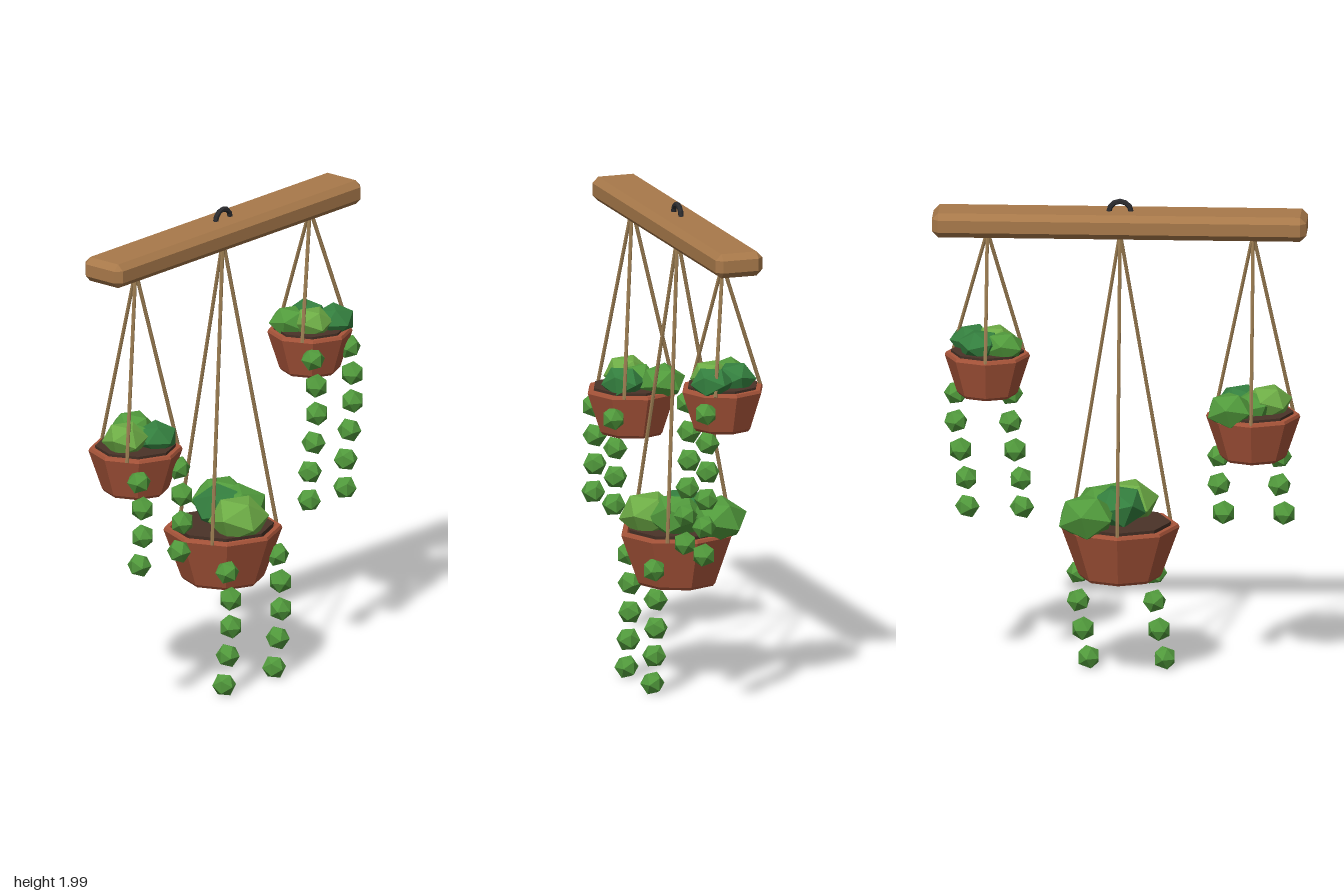
import * as THREE from 'three';
import { ConvexGeometry } from 'three/addons/geometries/ConvexGeometry.js';

const mat = (color) => new THREE.MeshStandardMaterial({ color, flatShading: true });
const WOOD = mat(0xa8794a), CLAY = mat(0xa9553a), SOIL = mat(0x4a3328);
const ROPE = mat(0x97794f), IRON = mat(0x2b2b2e);
const LEAF = { light: mat(0x6cab45), mid: mat(0x519a3c), dark: mat(0x34803f) };

function add(parent, name, geometry, material, x = 0, y = 0, z = 0) {
  const mesh = new THREE.Mesh(geometry, material);
  mesh.name = name;
  mesh.position.set(x, y, z);
  parent.add(mesh);
  return mesh;
}

// Box with all edges chamfered, from half sizes and chamfer width
function chamferBox(hx, hy, hz, c) {
  const points = [];
  for (const sx of [-1, 1]) for (const sy of [-1, 1]) for (const sz of [-1, 1]) {
    points.push(
      new THREE.Vector3(sx * hx, sy * (hy - c), sz * (hz - c)),
      new THREE.Vector3(sx * (hx - c), sy * hy, sz * (hz - c)),
      new THREE.Vector3(sx * (hx - c), sy * (hy - c), sz * hz));
  }
  return new ConvexGeometry(points);
}

// Straight rope between two points
function addRope(parent, from, to) {
  const dir = to.clone().sub(from);
  const rope = add(parent, 'rope', new THREE.CylinderGeometry(0.008, 0.008, dir.length(), 6), ROPE);
  rope.position.copy(from).addScaledVector(dir, 0.5);
  rope.quaternion.setFromUnitVectors(new THREE.Vector3(0, 1, 0), dir.normalize());
}

// One hanging planter; foliage rows are [x, z, radius, tone, top height over rim]
function hangingPlanter({ name, x, top, height, r, base, beads, foliage }) {
  const g = new THREE.Group();
  g.name = name;
  g.position.x = x;
  const bottom = top - height;

  // Eight-sided pot with a softened foot and rim
  const profile = [
    [0, bottom], [base - 0.01, bottom], [base, bottom + 0.012],
    [r, top - 0.012], [r - 0.005, top], [r - 0.025, top], [r - 0.03, top - 0.02],
  ].map(([px, py]) => new THREE.Vector2(px, py));
  const clay = add(g, 'pot', new THREE.LatheGeometry(profile, 8), CLAY);
  clay.material.side = THREE.DoubleSide;
  add(g, 'soil', new THREE.CylinderGeometry(r * 0.86, r * 0.84, 0.03, 8), SOIL, 0, top - 0.005, 0);

  // Three ropes: one at the back, two towards the front
  for (let i = 0; i < 3; i++) {
    const a = Math.PI + i * Math.PI * 2 / 3;
    addRope(g, new THREE.Vector3(0, 1.86, 0),
      new THREE.Vector3(Math.sin(a) * r * 0.95, top - 0.01, Math.cos(a) * r * 0.95));
  }

  // Faceted foliage clumps
  foliage.forEach(([fx, fz, fr, tone, rise], i) => {
    const geo = new THREE.IcosahedronGeometry(fr, 0);
    geo.rotateX(0.4 + i * 1.1).rotateY(0.7 + i * 1.7).scale(1, 0.78, 1);
    add(g, 'foliage', geo, LEAF[tone], fx, top + rise - fr * 0.75, fz);
  });

  // Two swaying trailing vines of leaf beads
  for (const side of [-1, 1]) for (let i = 0; i < beads; i++) {
    const bead = add(g, 'vineLeaf', new THREE.IcosahedronGeometry(0.05, 0), LEAF.mid,
      side * r * 0.64 + Math.sin(i) * 0.025, top - 0.67 * r + 0.035 - i * 0.118, r * 0.65);
    bead.rotation.y = i * 0.5;
  }
  return g;
}

export function createModel() {
  const model = new THREE.Group();
  model.name = 'hangingPlanters';

  add(model, 'beam', chamferBox(0.755, 0.05, 0.1, 0.025), WOOD, 0, 1.9, 0);
  add(model, 'hook', new THREE.TorusGeometry(0.045, 0.011, 6, 6, Math.PI), IRON, 0, 1.945, 0);

  model.add(hangingPlanter({
    name: 'leftHandPlanter', x: -0.537, top: 1.115, height: 0.185, r: 0.19, base: 0.135, beads: 4,
    foliage: [
      [-0.065, 0.0, 0.095, 'light', 0.12], [0.06, 0.06, 0.09, 'dark', 0.105],
      [0.09, -0.095, 0.1, 'mid', 0.11], [-0.005, -0.02, 0.09, 'mid', 0.1],
    ],
  }));
  model.add(hangingPlanter({
    name: 'middlePlanter', x: 0, top: 0.65, height: 0.222, r: 0.24, base: 0.168, beads: 5,
    foliage: [
      [-0.03, 0.11, 0.125, 'light', 0.155], [0.07, 0.03, 0.12, 'mid', 0.16],
      [0.13, -0.125, 0.125, 'mid', 0.15], [0.01, -0.02, 0.12, 'dark', 0.165],
    ],
  }));
  model.add(hangingPlanter({
    name: 'rightHandPlanter', x: 0.535, top: 1.355, height: 0.175, r: 0.172, base: 0.123, beads: 6,
    foliage: [
      [-0.03, 0.04, 0.085, 'light', 0.105], [0.07, 0.07, 0.088, 'dark', 0.1],
      [-0.07, -0.05, 0.085, 'mid', 0.1], [0.03, -0.04, 0.09, 'dark', 0.105],
    ],
  }));
  return model;
}
